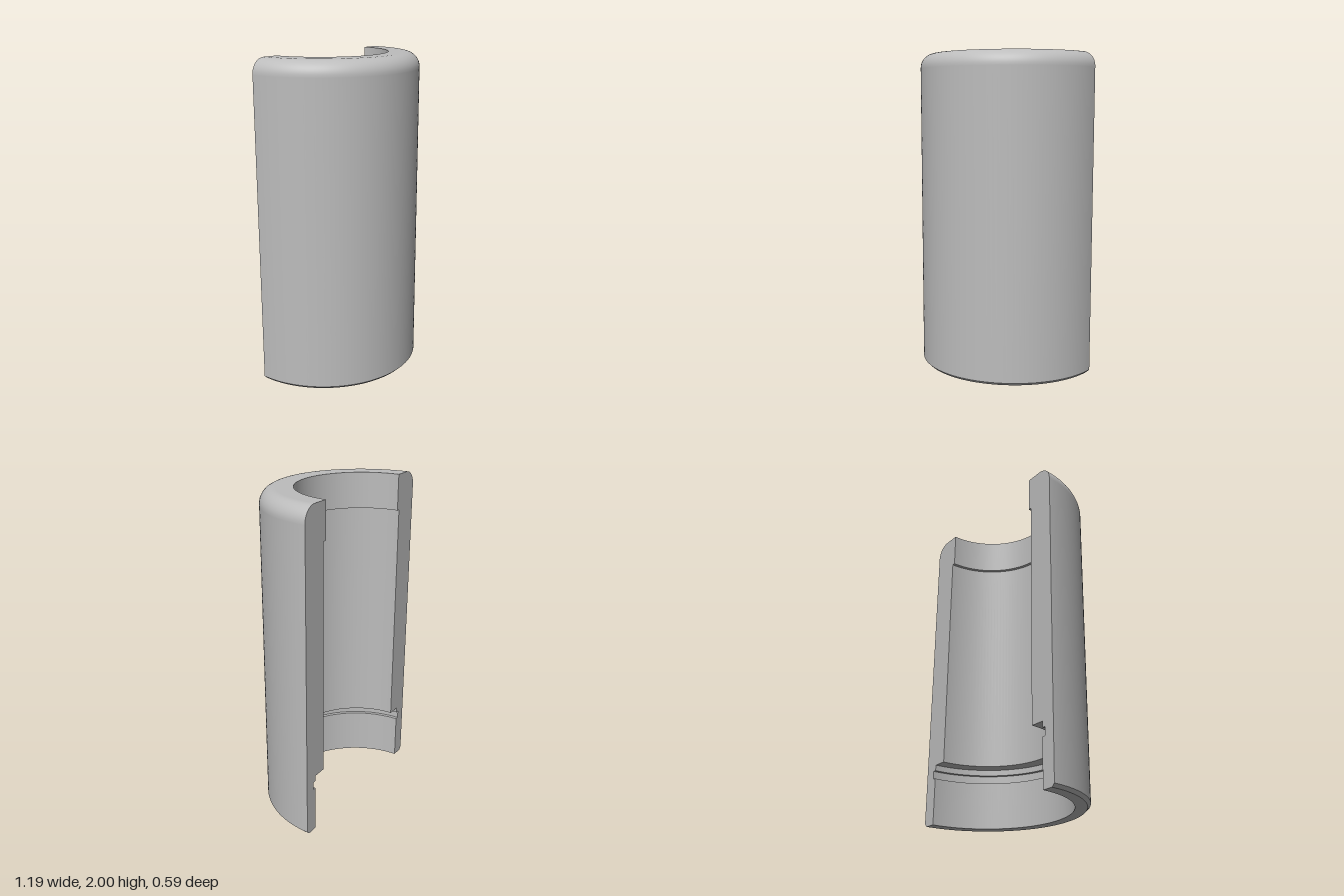
import * as THREE from 'three';

export function createModel() {
  const group = new THREE.Group();
  group.name = 'halfSleeve';
  const steel = new THREE.MeshStandardMaterial({ color: 0xbcbcbc });
  steel.name = 'grey steel';

  const R = 0.593, top = 2, fillet = 0.09, chamfer = 0.018;

  // Rounded upper rim, from the outer wall to the flat top
  const rim = [];
  for (let i = 0; i <= 12; i++) {
    const a = (i / 12) * Math.PI / 2;
    rim.push([R - fillet + fillet * Math.cos(a), top - fillet + fillet * Math.sin(a)]);
  }

  // Cross-section [radius, height], anticlockwise, split at its sharp edges
  const sections = {
    bottomChamfer: [[R - chamfer, 0], [R, chamfer]],
    outerWall: [[R, chamfer], [R, top - fillet - 0.005], ...rim, [R - fillet - 0.005, top], [0.4, top]],
    upperLip: [[0.4, top], [0.4, 1.78]],
    upperStep: [[0.4, 1.78], [0.42, 1.78]],
    mainBore: [[0.42, 1.78], [0.42, 0.37]],
    lowerStep: [[0.42, 0.37], [0.505, 0.37]],
    shoulder: [[0.505, 0.37], [0.505, 0.335]],
    grooveTop: [[0.505, 0.335], [0.527, 0.335]],
    grooveWall: [[0.527, 0.335], [0.527, 0.285]],
    grooveFloor: [[0.527, 0.285], [0.505, 0.285]],
    lowerBore: [[0.505, 0.285], [0.505, 0]],
    bottomFace: [[0.505, 0], [R - chamfer, 0]],
  };

  // Sweep each section through half a turn
  for (const [name, pts] of Object.entries(sections)) {
    const points = pts.map(([r, y]) => new THREE.Vector2(r, y));
    const mesh = new THREE.Mesh(new THREE.LatheGeometry(points, 64, -Math.PI / 2, Math.PI), steel);
    mesh.name = name;
    group.add(mesh);
  }

  // Flat cut faces at the back, one each side
  const outline = Object.values(sections).flatMap((pts) => pts.slice(0, -1));
  for (const side of [-1, 1]) {
    const shape = new THREE.Shape(outline.map(([r, y]) => new THREE.Vector2(side * r, y)));
    const face = new THREE.Mesh(new THREE.ShapeGeometry(shape).rotateY(Math.PI), steel);
    face.name = side < 0 ? 'leftCutFace' : 'rightCutFace';
    group.add(face);
  }

  // Centre the half ring in depth
  for (const part of group.children) part.position.z = -R / 2;
  return group;
}
